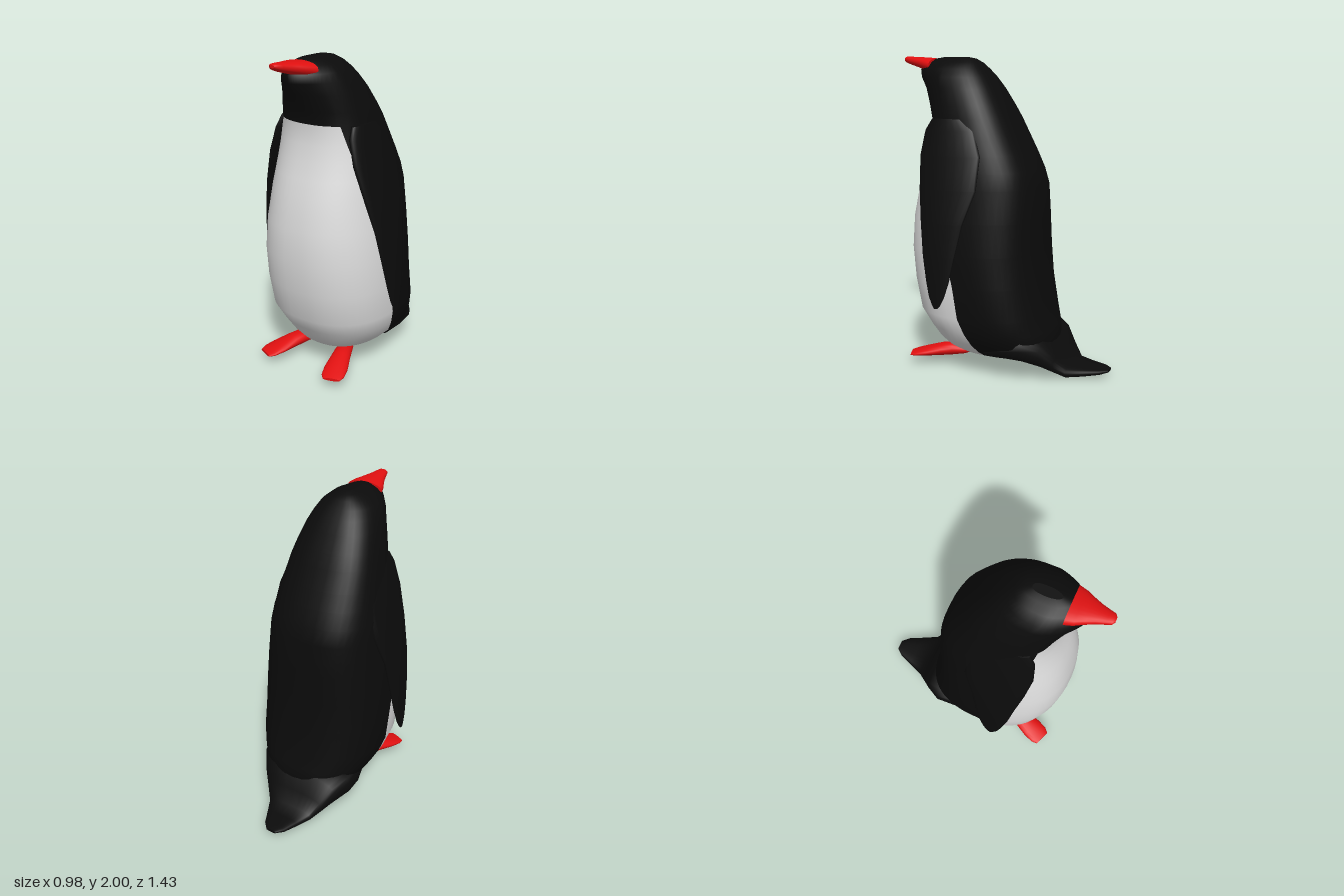
import * as THREE from 'three';

const mat = (name, color) => {
  const m = new THREE.MeshStandardMaterial({ color });
  m.name = name;
  return m;
};

// Signed power, for rounded-box cross-sections
const spow = (v, p) => Math.sign(v) * Math.pow(Math.abs(v), p);

// Skins a list of rings (arrays of [x, y, z]) and closes both ends.
// groupOf(row, column) picks the material index; caps use row -1 and row = last.
function loft(rings, groupOf = () => 0) {
  const n = rings[0].length, last = rings.length - 1;
  const pos = rings.flat(2);
  const faces = [];
  for (let i = 0; i < last; i++) {
    for (let j = 0; j < n; j++) {
      const k = (j + 1) % n, a = i * n + j, b = i * n + k, c = a + n, d = b + n;
      faces.push([a, b, d, groupOf(i, j)], [a, d, c, groupOf(i, j)]);
    }
  }
  for (const [row, flip] of [[0, true], [last, false]]) {
    const mid = pos.length / 3, base = mid + 1;
    const centre = [0, 1, 2].map(q => rings[row].reduce((s, p) => s + p[q], 0) / n);
    pos.push(...centre, ...rings[row].flat());
    for (let j = 0; j < n; j++) {
      const a = base + j, b = base + (j + 1) % n, g = groupOf(flip ? -1 : last, j);
      faces.push(flip ? [mid, b, a, g] : [mid, a, b, g]);
    }
  }
  // Turn the faces outwards whatever direction the rings run
  const v = i => new THREE.Vector3(pos[3 * i], pos[3 * i + 1], pos[3 * i + 2]);
  const volume = faces.reduce((s, [a, b, c]) => s + v(a).dot(v(b).cross(v(c))), 0);
  faces.sort((p, q) => p[3] - q[3]);
  const geo = new THREE.BufferGeometry();
  geo.setAttribute('position', new THREE.Float32BufferAttribute(pos, 3));
  geo.setIndex(faces.flatMap(([a, b, c]) => (volume < 0 ? [a, c, b] : [a, b, c])));
  for (const g of [0, 1]) {
    const start = faces.findIndex(f => f[3] === g);
    if (start >= 0) geo.addGroup(start * 3, faces.filter(f => f[3] === g).length * 3, g);
  }
  geo.computeVertexNormals();
  return geo;
}

// Ring of n points from a function of angle
const ring = (n, fn) => Array.from({ length: n }, (_, j) => {
  const t = (j / n) * Math.PI * 2;
  return fn(Math.cos(t), Math.sin(t));
});

export function createModel() {
  const black = mat('black plumage', 0x0b0b0b);
  const white = mat('white belly', 0xdedede);
  const red = mat('red beak and feet', 0xe01010);
  const group = new THREE.Group();
  group.name = 'penguin';
  const add = (name, geo, material) => {
    const mesh = new THREE.Mesh(geo, material);
    mesh.name = name;
    group.add(mesh);
    return mesh;
  };

  // Body and head: y, front z, back z, half width, z of belly edge, front roundness
  const rows = [
    [0.12, 0.30, -0.28, 0.22, 0.03, 0.85],
    [0.16, 0.37, -0.34, 0.28, 0.04, 0.85],
    [0.22, 0.42, -0.38, 0.34, 0.06, 0.85],
    [0.30, 0.47, -0.355, 0.38, 0.09, 0.85],
    [0.40, 0.53, -0.33, 0.41, 0.12, 0.85],
    [0.60, 0.57, -0.295, 0.415, 0.15, 0.85],
    [0.80, 0.59, -0.28, 0.41, 0.20, 0.85],
    [1.00, 0.58, -0.275, 0.39, 0.26, 0.85],
    [1.20, 0.54, -0.265, 0.365, 0.31, 0.85],
    [1.30, 0.51, -0.235, 0.35, 0.33, 0.85],
    [1.40, 0.485, -0.19, 0.33, 0.35, 0.85],
    [1.50, 0.465, -0.14, 0.31, 0.37, 0.85],
    [1.62, 0.455, -0.08, 0.285, 0.39, 0.85],
    [1.70, 0.48, -0.035, 0.265, 0.41, 0.9],
    [1.80, 0.53, 0.025, 0.235, 0.44, 1.1],
    [1.87, 0.58, 0.075, 0.205, 0.46, 1.25],
    [1.92, 0.59, 0.12, 0.175, 0.46, 1.3],
    [1.96, 0.54, 0.16, 0.125, 0.44, 1.2],
    [1.985, 0.48, 0.20, 0.07, 0.42, 1],
    [1.995, 0.42, 0.25, 0.03, 0.38, 1],
  ];
  const NW = 24, NB = 28, neckRow = 12;
  const bodyRings = rows.map(([y, zf, zb, w, edge, pf]) => {
    const c = (zf + zb) / 2, d = (zf - zb) / 2;
    const a = Math.acos(spow((edge - c) / d, 1 / pf));
    return Array.from({ length: NW + NB }, (_, j) => {
      const t = j <= NW ? -a + (2 * a * j) / NW
        : a + ((2 * Math.PI - 2 * a) * (j - NW)) / NB;
      const p = Math.cos(t) > 0 ? pf : 0.75;
      return [-0.012 + w * spow(Math.sin(t), p), y, c + d * spow(Math.cos(t), p)];
    });
  });
  add('body', loft(bodyRings, (i, j) =>
    (i === -1 || (j < NW && i < neckRow) ? 1 : 0)), [black, white]);

  // Tail skirt: z, half width, top y, bottom y
  const tail = [
    [0.0, 0.30, 0.22, 0.12], [-0.12, 0.335, 0.28, 0.12], [-0.25, 0.335, 0.32, 0.11],
    [-0.35, 0.27, 0.27, 0.07], [-0.42, 0.21, 0.16, 0.035], [-0.48, 0.16, 0.08, 0.005],
    [-0.58, 0.115, 0.07, 0.015], [-0.67, 0.075, 0.065, 0.03], [-0.715, 0.035, 0.06, 0.042],
  ];
  add('tail', loft(tail.map(([z, w, t, b]) => ring(28, (c, s) =>
    [-0.02 + z * 0.07 + w * spow(c, 0.7), (t + b) / 2 + ((t - b) / 2) * spow(s, 0.7), z]))), black);

  // Beak: z, half width, top y, bottom y
  const beak = [
    [0.47, 0.12, 1.987, 1.895], [0.52, 0.105, 1.992, 1.905], [0.57, 0.08, 1.995, 1.92],
    [0.62, 0.058, 1.997, 1.935], [0.67, 0.042, 2.0, 1.95], [0.70, 0.033, 2.0, 1.962],
    [0.713, 0.015, 1.992, 1.975],
  ];
  add('beak', loft(beak.map(([z, w, t, b]) => ring(24, (c, s) =>
    [-0.01 + w * c, (t + b) / 2 + ((t - b) / 2) * spow(s, 0.8), z]))), red);

  // Flippers: y, outer x, thickness, front z, rear z
  const flipper = [
    [1.62, 0.285, 0.06, 0.36, 0.14], [1.55, 0.31, 0.08, 0.40, 0.06],
    [1.40, 0.355, 0.09, 0.415, 0.0], [1.20, 0.405, 0.075, 0.39, 0.0],
    [1.00, 0.443, 0.05, 0.355, 0.065], [0.80, 0.468, 0.036, 0.325, 0.105],
    [0.65, 0.481, 0.028, 0.295, 0.135], [0.55, 0.487, 0.02, 0.27, 0.165],
    [0.50, 0.489, 0.012, 0.245, 0.19], [0.48, 0.489, 0.006, 0.23, 0.21],
  ];
  // Feet: distance from heel, half width, top y, bottom y
  const foot = [
    [0, 0.025, 0.115, 0.09], [0.05, 0.045, 0.135, 0.075], [0.13, 0.055, 0.15, 0.065],
    [0.2, 0.062, 0.14, 0.06], [0.3, 0.075, 0.112, 0.058], [0.37, 0.072, 0.09, 0.058],
    [0.405, 0.055, 0.078, 0.06],
  ];
  for (const side of [1, -1]) {
    const word = side > 0 ? 'left' : 'right';
    add(word + 'Flipper', loft(flipper.map(([y, x, th, zf, zr]) => ring(20, (c, s) =>
      [side * (x - th / 2 + (th / 2) * c), y - (side < 0 && y < 0.9 ? 0.03 : 0),
        (zf + zr) / 2 + ((zf - zr) / 2) * s]))), black);
    const turn = 0.36, cx = Math.cos(turn), sx = Math.sin(turn);
    add(word + 'Foot', loft(foot.map(([l, w, t, b]) => ring(20, (c, s) => [
      -0.03 + side * (0.125 + l * sx + w * c * cx),
      (t + b) / 2 + ((t - b) / 2) * s,
      0.175 + l * cx - w * c * sx,
    ]))), red);
  }
  return group;
}
